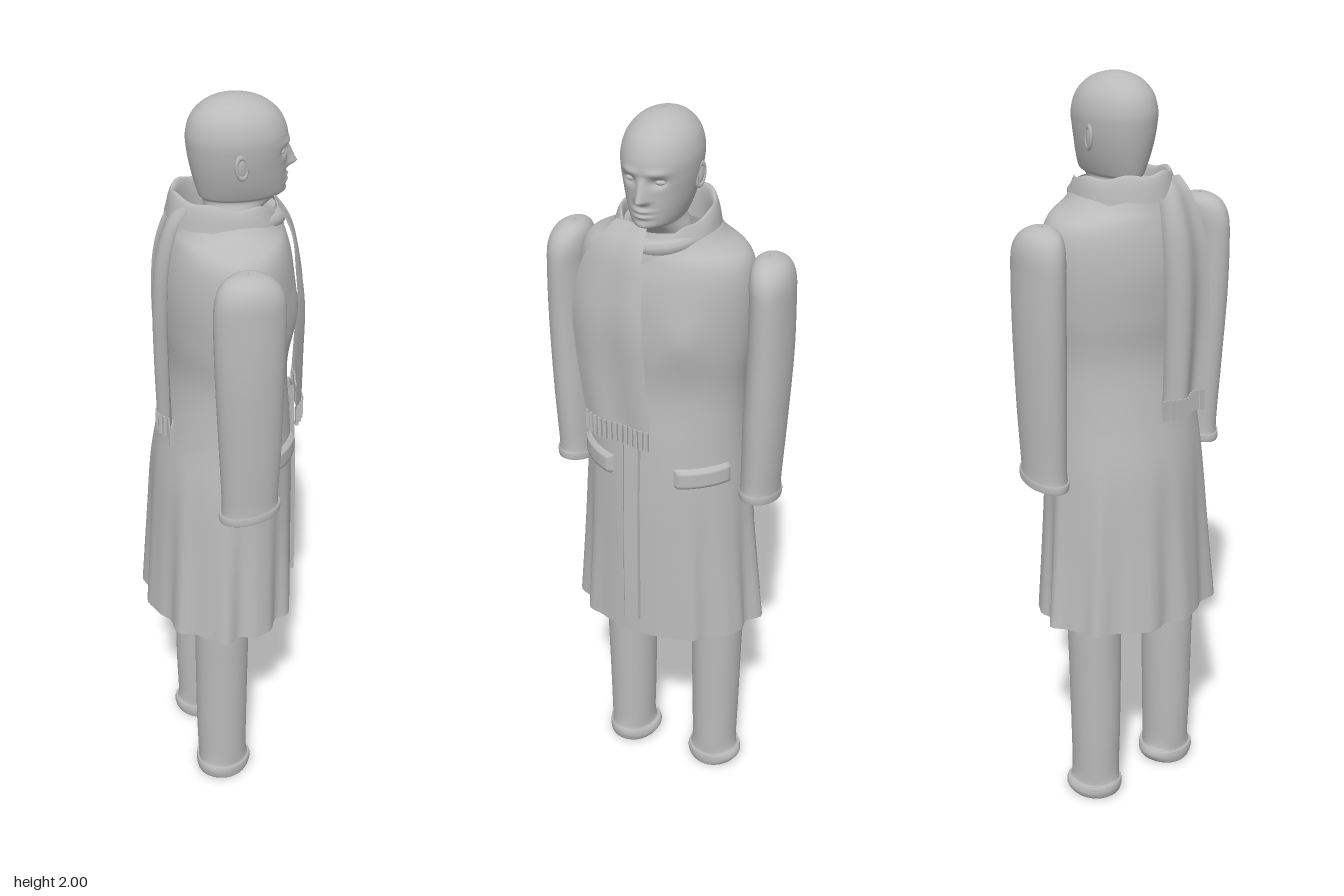
import * as THREE from 'three';

const cloth = new THREE.MeshStandardMaterial({ color: 0xbababa, side: THREE.DoubleSide });
cloth.name = 'plain grey';
const bump = (v, centre, width) => Math.exp(-(((v - centre) / width) ** 2));

// Grid surface from a point rule f(u, v), optionally closed around u
function surface(f, nu, nv, closed = false) {
  const pos = [], idx = [], cols = closed ? nu : nu + 1;
  for (let j = 0; j <= nv; j++)
    for (let i = 0; i < cols; i++) pos.push(...f(i / nu, j / nv));
  for (let j = 0; j < nv; j++)
    for (let i = 0; i < nu; i++) {
      const a = j * cols + i, c = j * cols + ((i + 1) % cols), b = a + cols, d = c + cols;
      idx.push(a, b, c, c, b, d);
    }
  const g = new THREE.BufferGeometry();
  g.setAttribute('position', new THREE.Float32BufferAttribute(pos, 3));
  g.setIndex(idx);
  g.computeVertexNormals();
  return g;
}

// Smooth interpolation through rows of numbers
function sample(rows, t) {
  const s = t * (rows.length - 1), k = Math.min(Math.floor(s), rows.length - 2), f = s - k;
  const at = i => rows[Math.max(0, Math.min(rows.length - 1, i))];
  return rows[0].map((_, c) => {
    const p0 = at(k - 1)[c], p1 = at(k)[c], p2 = at(k + 1)[c], p3 = at(k + 2)[c];
    return p1 + 0.5 * f * (p2 - p0 + f * (2 * p0 - 5 * p1 + 4 * p2 - p3 + f * (3 * (p1 - p2) + p3 - p0)));
  });
}

// Elliptical loft; rows are [y, centreX, centreZ, radiusX, radiusZ], angle 0 is the figure's front (+x)
function loft(rows, nu, nv, tweak = p => p) {
  return surface((u, v) => {
    const [y, cx, cz, rx, rz] = sample(rows, v), a = u * Math.PI * 2;
    return tweak([cx + rx * Math.cos(a), y, cz + rz * Math.sin(a)], a, v);
  }, nu, nv, true);
}

export function createModel() {
  const model = new THREE.Group();
  const add = (name, geometry, parent = model) => {
    const m = new THREE.Mesh(geometry, cloth);
    m.name = name;
    parent.add(m);
    return m;
  };

  // Long coat with a rippled open hem
  add('coat', loft([
    [0.57, -0.01, 0, 0.2, 0.257], [0.8, -0.005, 0, 0.192, 0.238], [1.0, 0.0, 0, 0.184, 0.224],
    [1.15, 0.008, 0, 0.168, 0.21], [1.3, 0.012, 0, 0.153, 0.205], [1.42, 0.012, 0, 0.163, 0.22],
    [1.53, 0.01, 0, 0.166, 0.228], [1.61, 0.01, 0, 0.158, 0.225], [1.66, 0.01, 0, 0.145, 0.205],
    [1.69, 0.01, 0, 0.135, 0.15], [1.73, 0.01, 0, 0.122, 0.112],
  ], 96, 60, ([x, y, z], a) => {
    const fall = Math.max(0, (1.1 - y) / 0.53);
    const side = 1 - bump(Math.cos(a), 1, 0.12);
    const s = 1 + fall * side * (0.04 * Math.sin(11 * a + 0.6) + 0.02 * Math.sin(19 * a));
    const chest = x > 0 ? 0.012 * bump(y, 1.47, 0.07) * bump(Math.abs(z), 0.11, 0.05) : 0;
    return [x * s + chest, y, z * s];
  }));

  // Front placket strip
  add('placket', surface((u, v) => {
    const y = 0.62 + 0.6 * v, edge = Math.min(u, 1 - u) < 0.05 ? -0.014 : 0;
    return [0.199 - 0.016 * v * v + edge, y, 0.05 * u];
  }, 24, 20));

  // Pocket flaps curving round the hips
  for (const s of [1, -1])
    add('pocketFlap', surface((u, v) => {
      const a = 0.41 + 0.8 * u, rim = u === 0 || u === 1 || v === 0 || v === 1 ? 0 : 0.012;
      return [0.005 + (0.176 + rim) * Math.cos(a), 1.05 + 0.06 * v, s * (0.212 + rim) * Math.sin(a)];
    }, 16, 8));

  // Standing collar folded over, dropping to two points at the front
  add('collar', loft([
    [1.67, 0.015, 0, 0.115, 0.1], [1.72, 0.014, 0, 0.118, 0.1], [1.75, 0.012, 0, 0.122, 0.104],
    [1.757, 0.01, 0, 0.131, 0.112], [1.735, 0.01, 0, 0.14, 0.122], [1.695, 0.01, 0, 0.147, 0.13],
  ], 80, 24, ([x, y, z], a, v) => {
    const front = Math.cos(a), fold = Math.max(0, (v - 0.6) / 0.4);
    const point = fold * bump(Math.abs(Math.atan2(z, x)), 0.75, 0.3);
    const y2 = y - 0.016 * front - 0.03 * bump(front, 1, 0.25) - 0.065 * point + 0.004 * Math.sin(7 * a);
    return [x + 0.012 * point, y2, z * (1 + 0.12 * point)];
  }));

  // Scarf ends; rows are [y, x, zLow, zHigh], each finished with a fringe
  const scarfEnd = (name, rows, bend, wave, count) => {
    const g = new THREE.Group();
    g.name = name;
    model.add(g);
    const f = (u, v) => {
      const [y, x, z0, z1] = sample(rows, v), z = z0 + (z1 - z0) * u;
      return [x - bend * z * z + wave * Math.sin(u * 9 + v) * (0.3 + 0.7 * v), y, z];
    };
    add(name + 'Cloth', surface(f, 32, 32), g);
    for (let i = 0; i < count; i++) {
      const [x, y, z] = f((i + 0.5) / count, 1);
      add('fringe', new THREE.BoxGeometry(0.008, 0.055, 0.009), g).position.set(x, y - 0.023, z);
    }
  };
  scarfEnd('frontScarf', [
    [1.745, 0.128, 0.0, 0.085], [1.69, 0.165, -0.005, 0.13], [1.62, 0.185, -0.01, 0.175], [1.5, 0.203, -0.018, 0.2],
    [1.36, 0.201, -0.026, 0.19], [1.22, 0.198, -0.035, 0.165],
  ], 1.5, 0.005, 13);
  scarfEnd('backScarf', [
    [1.755, -0.11, 0.0, 0.09], [1.71, -0.142, -0.01, 0.105], [1.62, -0.168, -0.02, 0.125], [1.5, -0.178, -0.02, 0.14],
    [1.34, -0.176, -0.015, 0.142], [1.19, -0.17, -0.01, 0.135],
  ], -0.6, 0.011, 11);

  // Scarf wrap across the throat
  const wrap = new THREE.CatmullRomCurve3([
    [-0.02, 1.7, 0.105], [0.06, 1.705, 0.096], [0.12, 1.7, 0.055], [0.135, 1.695, 0],
    [0.12, 1.7, -0.055], [0.06, 1.705, -0.096], [-0.02, 1.7, -0.105],
  ].map(p => new THREE.Vector3(...p)));
  add('scarfWrap', new THREE.TubeGeometry(wrap, 40, 0.022, 10));

  // Sleeves with slanted cuffs, and trouser legs with turned hems
  for (const s of [1, -1]) {
    add('sleeve', loft([
      [1.0, 0.01, 0.262, 0.004, 0.004], [0.995, 0.01, 0.262, 0.07, 0.046], [0.99, 0.01, 0.262, 0.078, 0.052],
      [1.01, 0.01, 0.262, 0.079, 0.053], [1.025, 0.01, 0.262, 0.072, 0.049], [1.2, 0.008, 0.267, 0.079, 0.053],
      [1.4, 0.003, 0.273, 0.085, 0.054], [1.55, 0.002, 0.273, 0.088, 0.052], [1.61, 0.002, 0.27, 0.083, 0.052],
      [1.645, 0, 0.265, 0.063, 0.043], [1.663, 0, 0.26, 0.03, 0.022], [1.665, 0, 0.26, 0.002, 0.002],
    ].map(([y, x, z, a, b]) => [y, x, s * z, a, b]), 40, 66, ([x, y, z]) =>
      [x, y + 0.16 * x * bump(y, 1, 0.06), z]));
    const cz = 0.132 * s;
    add('trouserLeg', loft([
      [0.012, -0.028, cz, 0.003, 0.003], [0.008, -0.028, cz, 0.055, 0.05], [0.005, -0.028, cz, 0.07, 0.066],
      [0.025, -0.028, cz - 0.003, 0.077, 0.076], [0.045, -0.028, cz - 0.002, 0.076, 0.074],
      [0.06, -0.028, cz, 0.069, 0.064], [0.2, -0.03, cz, 0.071, 0.066], [0.4, -0.03, cz, 0.073, 0.07],
      [0.6, -0.03, cz, 0.075, 0.073], [0.9, -0.03, cz * 0.85, 0.08, 0.075],
    ], 40, 72, ([x, y, z], a) => {
      const r = 0.004 * Math.sin(3 * a + s) * bump(y, 0.03, 0.03);
      return [x + r * Math.cos(a), y + r, z + r * Math.sin(a)];
    }));
  }

  // Head and neck with sculpted brow, eye sockets, nose, lips and chin
  add('head', loft([
    [1.62, 0.02, 0, 0.062, 0.06], [1.7, 0.022, 0, 0.065, 0.062], [1.742, 0.045, 0, 0.09, 0.05],
    [1.755, 0.05, 0, 0.105, 0.06], [1.79, 0.046, 0, 0.112, 0.074], [1.83, 0.041, 0, 0.117, 0.085],
    [1.87, 0.039, 0, 0.122, 0.092], [1.91, 0.037, 0, 0.122, 0.094], [1.95, 0.034, 0, 0.107, 0.083],
    [1.98, 0.031, 0, 0.075, 0.058], [1.995, 0.029, 0, 0.036, 0.028], [2.0, 0.028, 0, 0.001, 0.001],
  ], 120, 130, ([x, y, z]) => {
    if (x > 0.06) {
      const az = Math.abs(z), noseT = THREE.MathUtils.clamp((1.875 - y) / 0.055, 0, 1);
      const nose = y < 1.82 ? bump(y, 1.82, 0.009) : noseT;
      x += 0.03 * nose * bump(z, 0, 0.009 + 0.006 * noseT);
      x += 0.006 * bump(y, 1.885, 0.009) * bump(az, 0.035, 0.025);
      x -= 0.014 * bump(y, 1.862, 0.011) * bump(az, 0.036, 0.017);
      x += 0.008 * (bump(y, 1.792, 0.005) + bump(y, 1.778, 0.005)) * bump(z, 0, 0.022);
      x += 0.006 * bump(y, 1.752, 0.012) * bump(z, 0, 0.025);
    }
    return [x, y, z];
  }));
  for (const s of [1, -1]) {
    const eye = add('eye', new THREE.SphereGeometry(0.012, 16, 12));
    eye.position.set(0.136, 1.862, s * 0.036);
    eye.scale.set(0.8, 0.6, 1.2);
    const ear = new THREE.Group();
    ear.name = 'ear';
    ear.position.set(0.027, 1.85, s * 0.09);
    ear.rotation.set(0, s * 0.3, 0.15);
    add('earRim', new THREE.TorusGeometry(0.017, 0.005, 8, 24), ear).scale.set(0.85, 1.55, 1);
    add('earBowl', new THREE.SphereGeometry(0.016, 16, 12), ear).scale.set(0.85, 1.5, 0.3);
    model.add(ear);
  }
  return model;
}
